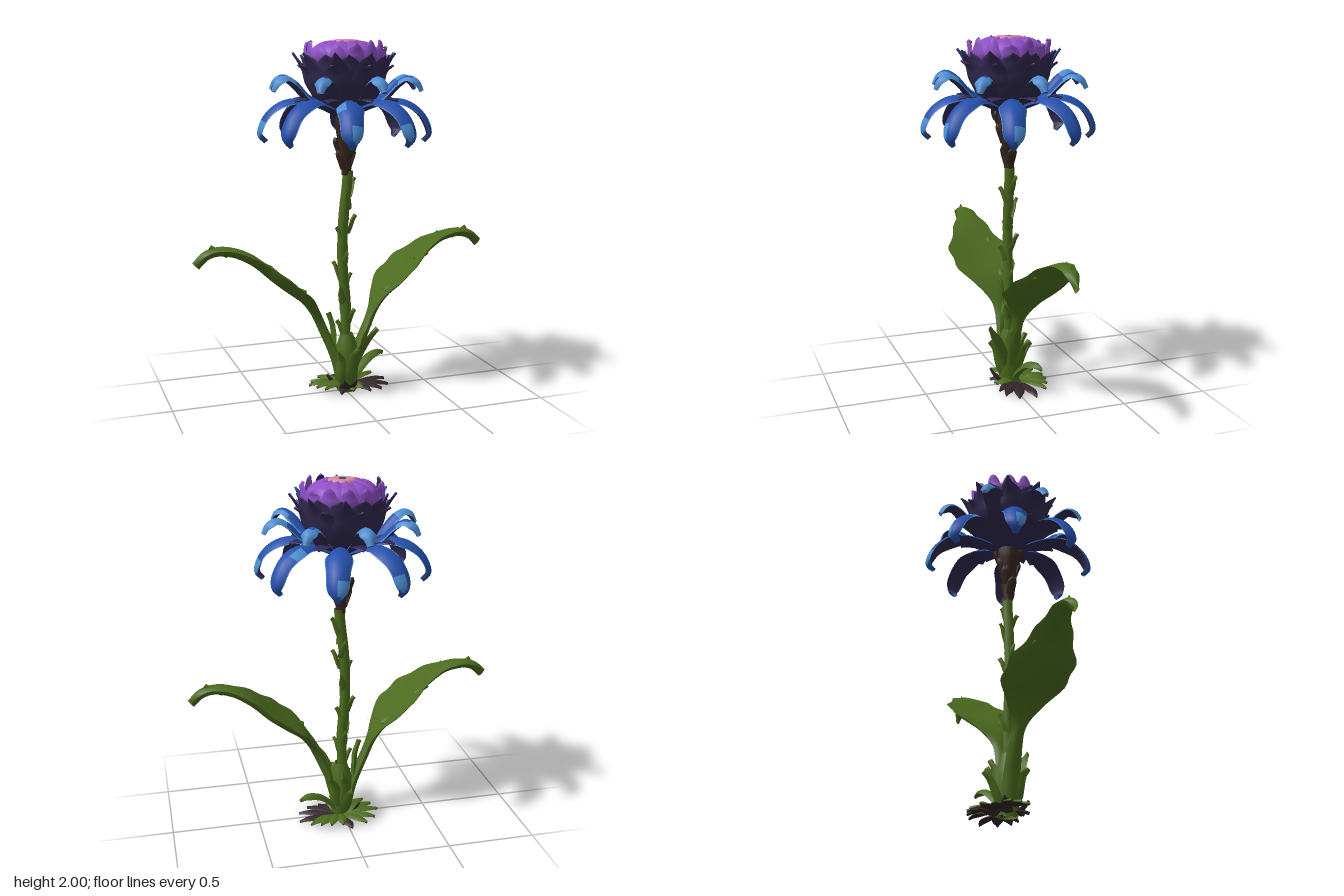
import * as THREE from 'three';

const mat = (name, color) => Object.assign(
  new THREE.MeshStandardMaterial({ color, side: THREE.DoubleSide }), { name });
const M = {
  green: mat('leaf green', 0x4b6a1e),
  darkGreen: mat('deep green', 0x3a5218),
  brown: mat('bark brown', 0x36261f),
  soil: mat('withered brown', 0x33252a),
  night: mat('night purple', 0x312950),
  blue: mat('petal blue', 0x2450ac),
  sky: mat('petal light blue', 0x4a8ed2),
  violet: mat('violet', 0x8f4fc6),
  pink: mat('pink', 0xd688a8),
};
const rad = THREE.MathUtils.degToRad;
const hash = n => { const s = Math.sin(n * 127.1 + 3.7) * 43758.5; return s - Math.floor(s); };

// Blade growing along +x. stations: [out, up, halfWidth, sideways = 0].
// mats: [upper face, under face, accent]; accent(t, u) picks upper cells.
function blade(name, stations, mats, o = {}) {
  const { rows = 14, cols = 6, thick = 0.014, cup = 0, wave = 0, waves = 5, accent } = o;
  const path = new THREE.CatmullRomCurve3(stations.map(s => new THREE.Vector3(s[0], s[1], s[3] || 0)));
  const widths = new THREE.CatmullRomCurve3(stations.map((s, i) => new THREE.Vector3(i, s[2], 0)));
  const pos = [], faces = [[], [], []];
  for (const side of [1, -1]) {
    const base = pos.length / 3;
    for (let i = 0; i <= rows; i++) {
      const t = i / rows, p = path.getPoint(t), d = path.getTangent(t);
      const n = new THREE.Vector3(-d.y, d.x, 0).normalize();
      const w = Math.max(widths.getPoint(t).y, 0.001) * (1 + wave * Math.sin(t * waves * 6.283));
      for (let j = 0; j <= cols; j++) {
        const u = Math.sin((j / cols - 0.5) * Math.PI);
        const h = side * thick * 0.5 * (1 - u * u) + cup * w * u * u;
        pos.push(p.x + n.x * h, Math.max(p.y + n.y * h, 0), p.z + u * w);
        if (i === rows || j === cols) continue;
        const a = base + i * (cols + 1) + j, b = a + cols + 1;
        const um = Math.sin(((j + 0.5) / cols - 0.5) * Math.PI);
        if (side > 0) faces[accent && accent(t, um) ? 2 : 0].push(a, a + 1, b, b, a + 1, b + 1);
        else faces[1].push(a, b, a + 1, b, b + 1, a + 1);
      }
    }
  }
  const g = new THREE.BufferGeometry();
  g.setAttribute('position', new THREE.Float32BufferAttribute(pos, 3));
  g.setIndex(faces.flat());
  let start = 0;
  faces.forEach((f, k) => { if (f.length) g.addGroup(start, f.length, k); start += f.length; });
  g.computeVertexNormals();
  const m = new THREE.Mesh(g, mats);
  m.name = name;
  return m;
}

function lathe(name, pts, m, seg = 28) {
  const mesh = new THREE.Mesh(new THREE.LatheGeometry(pts.map(p => new THREE.Vector2(...p)), seg), m);
  mesh.name = name;
  return mesh;
}

export function createModel() {
  const root = new THREE.Group();
  const put = (mesh, deg = 0, x = 0, z = 0) => {
    mesh.rotation.y = rad(deg);
    mesh.position.x = x;
    mesh.position.z = z;
    root.add(mesh);
  };
  const GREEN = [M.green, M.green], BROWN = [M.brown, M.brown];

  // Stem with upward thorns
  const stemPath = new THREE.CatmullRomCurve3([[0.005, 0], [0, 0.3], [0.005, 0.5], [-0.015, 0.75], [-0.01, 1], [0.012, 1.2], [0.018, 1.28]]
    .map(p => new THREE.Vector3(p[0], p[1], 0)));
  const stem = new THREE.Mesh(new THREE.TubeGeometry(stemPath, 40, 0.029, 10), M.green);
  stem.name = 'stem';
  root.add(stem);
  for (let i = 0; i < 13; i++) {
    const y = 0.38 + i * 0.068, p = stemPath.getPoint(y / 1.28);
    put(blade('thorn', [[0.012, y - 0.065, 0.024], [0.031, y - 0.015, 0.022], [0.04, y + 0.015, 0.014], [0.055, y + 0.04, 0.002]],
      GREEN, { rows: 5, cols: 4, thick: 0.024, cup: 0.3 }), i * 137 + 180, p.x, p.z);
  }

  // Woody neck under the bloom, knobbly with rough scales
  put(lathe('neck', [[0.026, 1.255], [0.03, 1.32], [0.034, 1.38], [0.046, 1.43], [0.05, 1.48], [0.064, 1.52], [0.062, 1.57], [0.055, 1.64]], M.brown, 12), 0, 0.008);
  for (let i = 0; i < 14; i++) {
    const level = i % 4, y = 1.35 + level * 0.064, r = 0.032 + level * 0.009;
    put(blade('neckScale', [[r - 0.012, y - 0.06, 0.022], [r + 0.01, y, 0.026], [r + 0.018, y + 0.025, 0.02], [r + 0.012, y + 0.045, 0.004]],
      BROWN, { rows: 6, cols: 4, cup: 0.2, thick: 0.024 }), i * 137, 0.003);
  }

  // Two broad arching leaves, mirrored by half a turn
  const leaf = [[0.02, 0.02, 0.05], [0.062, 0.2, 0.05], [0.135, 0.38, 0.036], [0.185, 0.485, 0.06, -0.01], [0.25, 0.57, 0.14, -0.03],
    [0.345, 0.645, 0.185, -0.045], [0.435, 0.72, 0.165, -0.06], [0.53, 0.805, 0.11, -0.06], [0.63, 0.86, 0.068, -0.05],
    [0.73, 0.878, 0.047, -0.04], [0.8, 0.86, 0.034, -0.04], [0.858, 0.808, 0.01, -0.04]];
  for (const deg of [0, 180]) {
    put(blade('leaf', leaf, GREEN, { rows: 44, cols: 10, thick: 0.052, cup: 0.2, wave: 0.06, waves: 8 }), deg);
    // barbs along the ridge and margin
    for (const [x, y, z, s] of [[0.745, 0.885, -0.045, 1], [0.47, 0.77, 0.03, 0.8], [0.27, 0.61, 0.04, 0.8], [0.6, 0.86, -0.09, 0.7]])
      put(blade('leafBarb', [[x - 0.06 * s, y - 0.03 * s, 0.02 * s, z], [x, y, 0.02 * s, z], [x + 0.035 * s, y + 0.022 * s, 0.002, z]],
        GREEN, { rows: 5, cols: 4, thick: 0.028 }), deg);
  }

  // Sheath and upright young leaves at the foot
  put(lathe('sheath', [[0.055, 0], [0.062, 0.06], [0.07, 0.16], [0.066, 0.25], [0.035, 0.34]], M.green, 14), 0, 0.01);
  const shoots = [[180, 0.1, 0.47, 0.03], [-50, 0.21, 0.4, 0.04], [-75, 0.13, 0.28, 0.036], [80, 0.1, 0.3, 0.035], [100, 0.15, 0.22, 0.032],
    [-10, 0.145, 0.39, 0.036], [-130, 0.1, 0.25, 0.03], [45, 0.13, 0.28, 0.034]];
  for (const [deg, r, h, w] of shoots)
    put(blade('youngLeaf', [[0.03, 0.02, w], [0.06 + r * 0.1, h * 0.45, w * 1.1], [r * 0.75, h * 0.82, w * 0.85], [r, h, 0.003]],
      GREEN, { rows: 10, thick: 0.03, cup: 0.35 }), deg);
  put(blade('archedLeaf', [[0.03, 0.03, 0.025], [0.1, 0.11, 0.032], [0.17, 0.165, 0.036], [0.24, 0.182, 0.03], [0.29, 0.165, 0.005]],
    GREEN, { thick: 0.025, cup: -0.45 }), 20);

  // Flat ground rosette, withered on its +x side
  for (let i = 0; i < 17; i++) {
    const deg = i * 360 / 17 + hash(i + 40) * 10, c = Math.cos(rad(deg));
    const old = (c > 0.5 && deg > 180) || c > 0.88 || i % 6 === 5;
    const len = 0.165 + 0.075 * c * c - hash(i) * 0.025, y = old ? 0.014 : 0.022 + hash(i + 9) * 0.018;
    put(blade(old ? 'witheredLeaf' : 'groundLeaf',
      [[0.02, 0.012, 0.016], [len * 0.4, y + 0.01, 0.026], [len * 0.75, y + 0.012, 0.028], [len, old ? 0.012 : y, 0.005]],
      [old ? M.soil : M.green, M.soil], { rows: 8, cols: 4, thick: 0.018, cup: -0.2 }), deg, 0.038, -0.045);
  }
  // Withered stubs leaning on the sheath
  for (const deg of [-110, -70, 150])
    put(blade('witheredStub', [[0.04, 0.01, 0.03], [0.08, 0.04, 0.03], [0.105, 0.085, 0.004]], [M.soil, M.soil], { rows: 6, cols: 4, cup: 0.3 }), deg);

  // Bloom core
  root.add(lathe('bloomCup', [[0.05, 1.59], [0.12, 1.63], [0.165, 1.69], [0.2, 1.76], [0.216, 1.84], [0.21, 1.88], [0.15, 1.89]], M.night));
  root.add(lathe('dome', [[0.182, 1.87], [0.182, 1.91], [0.165, 1.947], [0.125, 1.97], [0.075, 1.984], [0, 1.988]], M.violet));
  root.add(lathe('domeEye', [[0.08, 1.975], [0.076, 1.992], [0.06, 1.997], [0.03, 1.994], [0, 1.99]], M.pink));
  root.add(lathe('eyeCentre', [[0.02, 1.985], [0.018, 1.998], [0, 2]], M.darkGreen, 10));

  for (let i = 0; i < 8; i++) {
    const k = i * 45, jig = (hash(i) - 0.5) * 6, lr = i % 2 ? 1 : -1;
    // Large drooping petals: blue above, dark below, ragged pale margins
    put(blade('largePetal', [[0.06, 1.6, 0.032], [0.15, 1.642, 0.046], [0.25, 1.667, 0.056], [0.34, 1.655, 0.068],
      [0.415, 1.605, 0.068], [0.46, 1.535, 0.056], [0.468, 1.48, 0.042], [0.435, 1.445, 0.016]],
    [M.blue, M.night, M.sky], {
      rows: 24, cols: 10, thick: 0.028, cup: -0.3, wave: 0.07, waves: 3,
      accent: (t, u) => (Math.abs(u) > 0.95 && t > 0.25)
        || (i % 4 !== 3 && Math.hypot((t - 0.74) * 6, u - lr * 0.5) < 0.62)
        || (i % 3 === 1 && Math.hypot((t - 0.42) * 7, u + lr * 0.7) < 0.5),
    }), 75 + k + jig * 0.5);
    // Small pale petals between them
    put(blade('smallPetal', [[0.14, 1.65, 0.035], [0.23, 1.695, 0.045], [0.3, 1.765, 0.044], [0.36, 1.795, 0.042],
      [0.41, 1.775, 0.04], [0.435, 1.725, 0.018]],
    [M.sky, M.night, M.blue], {
      rows: 16, thick: 0.024, cup: -0.4, wave: 0.07, waves: 3,
      accent: (t, u) => (t < 0.42 && Math.abs(u) < 0.9) || (i % 2 === 1 && Math.abs(u) < 0.6 && t < 0.65),
    }), 98 + k + jig);
    // Short dark petals filling the gap under the cup
    put(blade('collarPetal', [[0.07, 1.61, 0.04], [0.16, 1.65, 0.06], [0.24, 1.68, 0.05], [0.3, 1.67, 0.006]],
      [M.night, M.night], { rows: 8 }), 98 + k);
  }

  // Overlapping scales of the cup, in three rings with coloured inner tips
  const rings = [
    { n: 8, off: 10, tip: M.violet, s: [[0.1, 1.62, 0.06], [0.175, 1.69, 0.085], [0.21, 1.77, 0.075], [0.235, 1.83, 0.045], [0.27, 1.86, 0.003]] },
    { n: 9, off: 0, tip: M.blue, s: [[0.16, 1.68, 0.06], [0.212, 1.76, 0.082], [0.23, 1.83, 0.066], [0.255, 1.88, 0.034], [0.286, 1.925, 0.003]] },
    { n: 12, off: 15, tip: M.violet, s: [[0.19, 1.74, 0.05], [0.22, 1.82, 0.07], [0.226, 1.875, 0.055], [0.24, 1.915, 0.003]] },
  ];
  for (const { n, off, tip, s } of rings)
    for (let i = 0; i < n; i++)
      put(blade('cupScale', s, [M.night, M.night, tip], { rows: 12, cup: 0.22, accent: t => t > 0.74 }), off + i * 360 / n);

  // Violet petals closing over the dome
  for (let i = 0; i < 12; i++) {
    const lift = i % 2 ? 0 : 0.004;
    put(blade('domePetal', [[0.185, 1.87, 0.04], [0.188 + lift, 1.91, 0.05], [0.17 + lift, 1.948, 0.046], [0.13, 1.973 + lift, 0.032], [0.078, 1.986, 0.008]],
      [M.violet, M.violet], { rows: 10, thick: 0.012, cup: 0.1 }), i * 30);
  }
  // Upright petals ringing the dome: violet outside, mostly dark inside
  for (let i = 0; i < 14; i++) {
    const tip = 1.955 + hash(i + 20) * 0.035, lean = hash(i + 60) * 0.025;
    put(blade('crownPetal', [[0.195, 1.85, 0.04], [0.218, 1.895, 0.048], [0.217, 1.93, 0.04], [0.205 + lean, tip - 0.008, 0.02], [0.195 + lean, tip, 0.003]],
      [i % 3 === 0 ? M.violet : M.night, M.violet], { rows: 8, thick: 0.016, cup: 0.15 }), 8 + i * 360 / 14);
  }

  return root;
}
